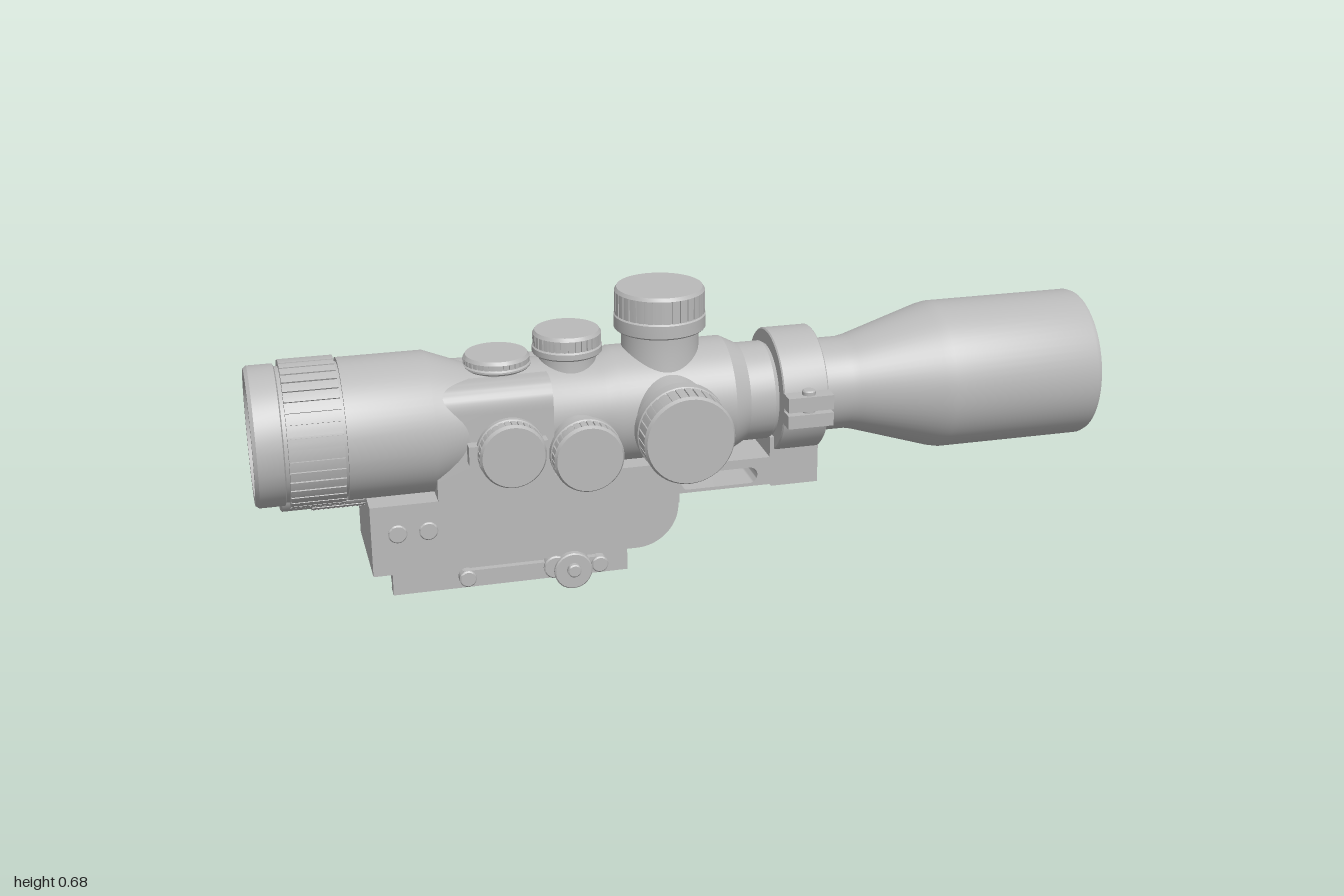
import * as THREE from 'three';
import { toCreasedNormals, mergeGeometries } from 'three/addons/utils/BufferGeometryUtils.js';

const CY = 0.396, CZ = -0.03; // optical axis
const metal = new THREE.MeshStandardMaterial({ color: 0xbababa });
metal.name = 'grey metal';
const glass = new THREE.MeshStandardMaterial({ color: 0x34323a });
glass.name = 'dark glass';

const V = (a) => a.map(([x, y]) => new THREE.Vector2(x, y));
const crease = (g) => toCreasedNormals(g, 0.45);
const lathe = (pts, seg = 48) => crease(new THREE.LatheGeometry(V(pts), seg));
const polygon = (pts) => new THREE.Shape(V(pts));

// Solid of revolution around y between two heights with chamfered rims
function drum(r, y0, y1, c = 0.004, seg = 40) {
  return lathe([[0, y0], [r - c, y0], [r, y0 + c], [r, y1 - c], [r - c, y1], [0, y1]], seg);
}

// Disc with narrow grip grooves cut into its rim, standing along y
function grooved(r, y0, y1, n, hole = 0) {
  const pts = [], step = (Math.PI * 2) / n, w = Math.min(step * 0.24, 0.004 / r);
  for (let i = 0; i < n; i++) {
    const a = i * step;
    const add = (t, q) => pts.push([Math.cos(t) * q, Math.sin(t) * q]);
    add(a, r - 0.004);
    add(a + w, r - 0.004);
    add(a + w, r);
    add(a + (step + w) / 2, r);
    add(a + step, r);
  }
  const s = polygon(pts);
  if (hole) s.holes.push(new THREE.Path().absarc(0, 0, hole, 0, Math.PI * 2, true));
  const g = new THREE.ExtrudeGeometry(s, { depth: y1 - y0, bevelEnabled: false, curveSegments: 24 });
  return crease(g.rotateX(-Math.PI / 2).translate(0, y0, 0));
}

// Round cover with a straight coin slot
function slottedCover(r, y0, y1) {
  const s = new THREE.Shape().absarc(0, 0, r, 0, Math.PI * 2);
  const w = 0.008, l = r * 0.62;
  s.holes.push(new THREE.Path(V([[-w, -l], [-w, l], [w, l], [w, -l]])));
  const g = new THREE.ExtrudeGeometry(s, { depth: y1 - y0, bevelEnabled: false, curveSegments: 20 });
  return crease(g.rotateX(-Math.PI / 2).translate(0, y0, 0));
}

export function createModel() {
  const model = new THREE.Group();
  model.name = 'telescopicSight';
  const add = (name, geo, x = 0, y = 0, z = 0, mat = metal) => {
    const m = new THREE.Mesh(geo, mat);
    m.name = name;
    m.position.set(x, y, z);
    model.add(m);
    return m;
  };
  const box = (name, x0, x1, y0, y1, z0, z1) =>
    add(name, new THREE.BoxGeometry(x1 - x0, y1 - y0, z1 - z0), (x0 + x1) / 2, (y0 + y1) / 2, (z0 + z1) / 2);
  const alongX = (g) => g.rotateZ(-Math.PI / 2);
  const extrudeZ = (name, s, z0, z1) =>
    add(name, crease(new THREE.ExtrudeGeometry(s, { depth: z1 - z0, bevelEnabled: false, curveSegments: 16 })), 0, 0, z0);
  const turn = { top: 0, front: Math.PI / 2, back: -Math.PI / 2 };

  // Main tube, from the eyepiece to the objective bell
  add('mainTube', alongX(lathe([
    [0.1, -0.945], [0.125, -0.96], [0.135, -1], [0.155, -1], [0.161, -0.992], [0.161, -0.935], [0.154, -0.932],
    [0.154, -0.795], [0.163, -0.795], [0.163, -0.6], [0.128, -0.51], [0.125, -0.2], [0.138, -0.17], [0.138, 0.1],
    [0.117, 0.14], [0.117, 0.2], [0.111, 0.21], [0.111, 0.395], [0.115, 0.415], [0.173, 0.605], [0.178, 0.63],
    [0.178, 0.99], [0.174, 1], [0.161, 1], [0.158, 0.985], [0.15, 0.985], [0.15, 0.95]], 64)), 0, CY, CZ);
  add('objectiveLens', new THREE.CircleGeometry(0.151, 48).rotateY(Math.PI / 2), 0.955, CY, CZ, glass);
  add('eyepieceLens', new THREE.CircleGeometry(0.102, 48).rotateY(-Math.PI / 2), -0.947, CY, CZ, glass);
  add('focusRing', alongX(grooved(0.169, -0.924, -0.802, 40, 0.15)), 0, CY, CZ);

  // Small second eyepiece adjuster underneath
  add('lowerAdjusterGrip', alongX(grooved(0.062, -0.875, -0.75, 22)), 0, 0.27, CZ);
  add('lowerAdjusterEnd', alongX(drum(0.06, -0.945, -0.87)), 0, 0.272, CZ);

  // Prism housing around the rear adjusters
  const h = 0.133, top = 0.51, c = 0.06, hs = new THREE.Shape();
  hs.moveTo(-h, 0.24).lineTo(h, 0.24).lineTo(h, top - c).quadraticCurveTo(h, top, h - c, top);
  hs.lineTo(c - h, top).quadraticCurveTo(-h, top, -h, top - c);
  const housing = new THREE.ExtrudeGeometry(hs, { depth: 0.27, bevelEnabled: false, curveSegments: 12 });
  add('prismHousing', crease(housing.rotateY(Math.PI / 2)), -0.6, 0, CZ);
  for (const s of [-1, 1]) {
    const z = CZ + s * 0.142;
    box('housingLug', -0.53, -0.35, 0.34, 0.385, z - 0.02, z + 0.02);
  }

  // Adjustment knobs: [name, side, x, y, neck start, cap start, cap end, radius, neck radius, slot]
  const knobs = [
    ['elevationKnob', 'top', -0.05, CY, 0.07, 0.576, 0.675, 0.107, 0.09, false],
    ['windageKnob', 'front', -0.05, CY, 0.03, 0.152, 0.251, 0.107, 0.09, false],
    ['parallaxKnob', 'back', -0.05, CY, 0.06, 0.2, 0.25, 0.083, 0.075, true],
    ['middleTopKnob', 'top', -0.27, CY, 0.06, 0.535, 0.59, 0.081, 0.066, false],
    ['middleFrontKnob', 'front', -0.27, 0.357, 0, 0.145, 0.205, 0.082, 0.066, false],
    ['middleBackKnob', 'back', -0.27, 0.357, 0.04, 0.19, 0.246, 0.08, 0.066, true],
    ['rearTopKnob', 'top', -0.435, CY, 0.06, 0.515, 0.547, 0.078, 0.066, false],
    ['rearFrontKnob', 'front', -0.435, 0.365, 0, 0.115, 0.168, 0.078, 0.066, false],
    ['rearBackKnob', 'back', -0.435, 0.365, 0.04, 0.175, 0.226, 0.078, 0.066, true],
    ['batteryKnob', 'back', -0.14, 0.177, 0.1, 0.157, 0.212, 0.075, 0.06, true],
  ];
  for (const [name, side, x, y, n0, y0, y1, r, rn, slot] of knobs) {
    const k = new THREE.Group(), hgt = y1 - y0, yc = y0 + hgt * 0.38, yt = y1 - 0.008;
    const start = side === 'top' ? CY + n0 : n0;
    const geos = [
      lathe([[rn * 1.12, start], [rn, start + (y0 - start) * 0.6], [rn, y0 + 0.002]]),
      drum(r, y0, yc), grooved(r - 0.002, yc, yt, 32),
      slot ? slottedCover(r - 0.005, yt, y1) : lathe([[r - 0.002, yt], [r - 0.007, y1], [0, y1]]),
    ];
    ['Neck', 'Collar', 'Grip', 'Cover'].forEach((part, i) => {
      const m = new THREE.Mesh(geos[i], metal);
      m.name = name + part;
      k.add(m);
    });
    k.name = name;
    k.position.set(x, side === 'top' ? 0 : y, side === 'top' ? CZ : 0);
    k.rotation.x = turn[side];
    model.add(k);
  }
  const stud = (name, side, x, y, r, z0, z1) => {
    add(name, drum(r, z0, z1, 0.003, 20), x, y, 0).rotation.x = turn[side];
  };
  stud('sidePost', 'back', -0.165, 0.4, 0.03, 0.1, 0.205);

  // Lower body with rounded front end
  const body = new THREE.Shape();
  body.moveTo(-0.755, 0.08).lineTo(-0.14, 0.08).absarc(-0.14, 0.18, 0.1, -Math.PI / 2, 0, false);
  body.lineTo(-0.04, 0.255).absarc(-0.07, 0.255, 0.03, 0, Math.PI / 2, false);
  body.lineTo(-0.33, 0.285).lineTo(-0.33, 0.25).lineTo(-0.755, 0.25);
  extrudeZ('lowerBody', body, -0.157, 0.102);
  for (const x of [-0.695, -0.625]) {
    stud('frontScrew', 'front', x, 0.18, 0.022, 0.09, 0.106);
    stud('backButton', 'back', x + 0.02, 0.18, 0.03, 0.15, 0.172);
  }
  const pad = new THREE.Shape();
  pad.absarc(-0.6, 0.18, 0.04, -Math.PI / 2, Math.PI / 2, false);
  pad.absarc(-0.68, 0.18, 0.04, Math.PI / 2, Math.PI * 1.5, false);
  extrudeZ('buttonPad', pad, -0.164, -0.15);

  // Support arm with a slot, and the ring that holds the tube
  const arm = polygon([[-0.08, 0.16], [-0.03, 0.18], [0.2, 0.18], [0.205, 0.175], [0.32, 0.175], [0.32, 0.3],
    [0.2, 0.3], [0.2, 0.25], [-0.08, 0.25]]);
  const slot = new THREE.Path();
  slot.absarc(0.15, 0.208, 0.02, -Math.PI / 2, Math.PI / 2, false);
  slot.absarc(0, 0.208, 0.02, Math.PI / 2, Math.PI * 1.5, false);
  arm.holes.push(slot);
  extrudeZ('supportArm', arm, -0.098, 0.043);
  box('armFoot', -0.1, -0.02, 0.153, 0.18, -0.09, 0.035);
  add('mountRing', alongX(lathe([[0.11, 0.21], [0.144, 0.21], [0.147, 0.213], [0.147, 0.317], [0.144, 0.32], [0.11, 0.32]])), 0, CY, CZ);
  for (const s of [-1, 1]) {
    const z = CZ + s * 0.155;
    box('ringLugLower', 0.21, 0.32, 0.36, 0.392, z - 0.026, z + 0.026);
    box('ringLugUpper', 0.21, 0.32, 0.4, 0.435, z - 0.026, z + 0.026);
    add('ringScrew', drum(0.016, 0.38, 0.446, 0.003, 16), 0.265, 0, z + s * 0.004);
  }

  // Rail clamp with dovetail channel and cross lugs
  const rail = polygon([[-0.085, 0.02], [-0.045, 0.02], [-0.06, 0.036], [-0.035, 0.058], [0.095, 0.058], [0.12, 0.036],
    [0.105, 0.02], [0.135, 0.02], [0.135, 0.078], [0.12, 0.085], [-0.07, 0.085], [-0.085, 0.078]]);
  const railGeo = new THREE.ExtrudeGeometry(rail, { depth: 0.55, bevelEnabled: false });
  add('railClamp', railGeo.rotateY(Math.PI / 2), -0.71, 0, 0);
  const lugs = [-0.4, -0.34, -0.28, -0.22].map((x) => new THREE.BoxGeometry(0.022, 0.03, 0.15).translate(x, 0.048, CZ));
  add('railCrossLugs', mergeGeometries(lugs));
  box('clampBar', -0.55, -0.22, 0.04, 0.068, 0.08, 0.1);
  stud('clampKnob', 'front', -0.295, 0.045, 0.045, 0.07, 0.117);
  stud('clampStud', 'front', -0.295, 0.05, 0.016, 0.1, 0.13);
  stud('clampLever', 'front', -0.335, 0.055, 0.028, 0.07, 0.108);
  for (const x of [-0.54, -0.23]) stud('clampScrew', 'front', x, 0.05, 0.02, 0.07, 0.108);
  for (const x of [-0.6, -0.42, -0.35, -0.22]) stud('railBolt', 'back', x, 0.045, 0.022, 0.12, 0.151);
  return model;
}
